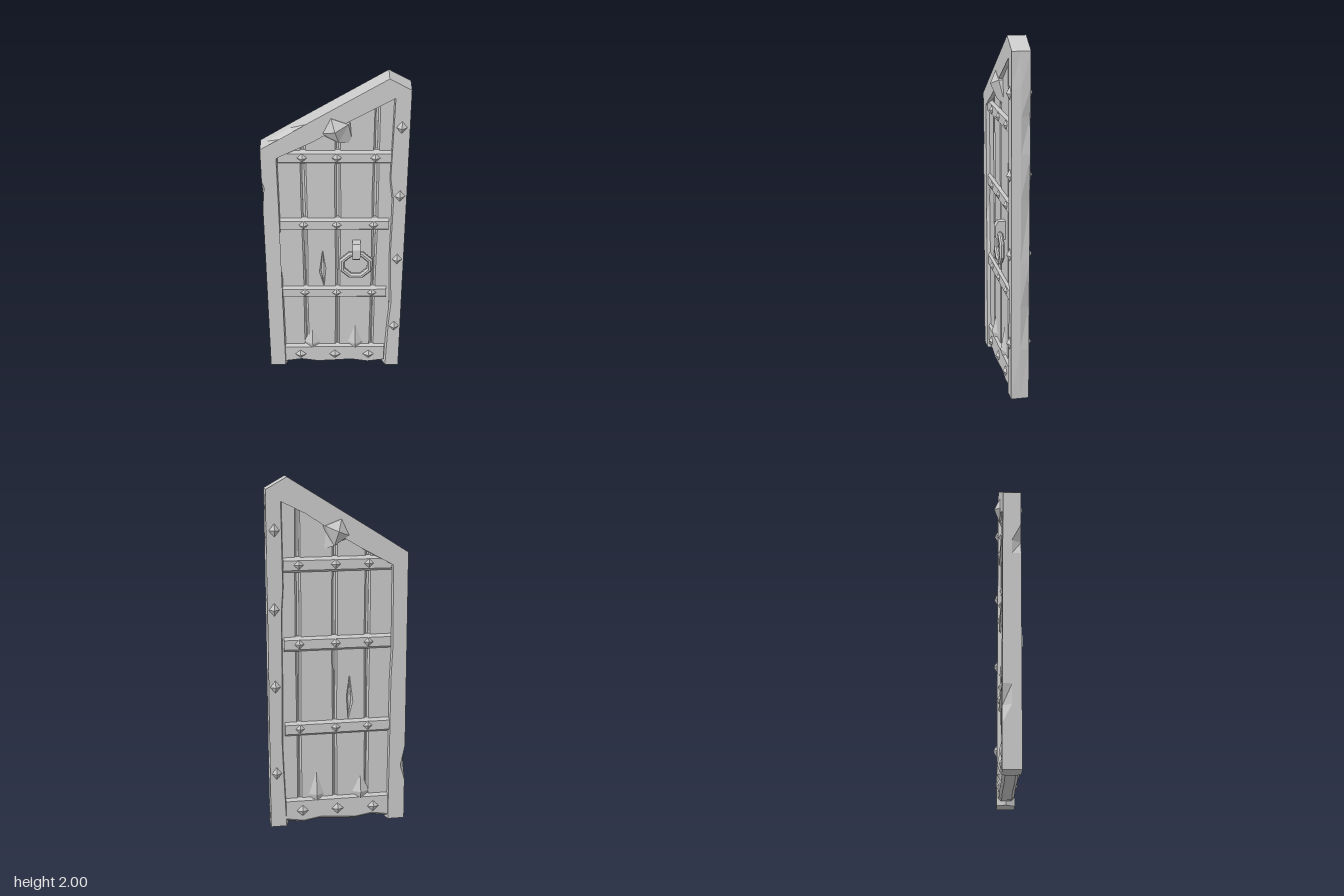
import * as THREE from 'three';

const material = new THREE.MeshStandardMaterial({ color: 0xcccccc, flatShading: true });

function add(parent, name, geometry) {
  const mesh = new THREE.Mesh(geometry, material);
  mesh.name = name;
  parent.add(mesh);
  return mesh;
}

const shapeOf = pts => new THREE.Shape(pts.map(p => new THREE.Vector2(p[0], p[1])));

// Solid skinned over counter-clockwise loops of rising z and closed by an apex
function spire(loops, apex) {
  const v = [];
  const n = loops[0].length;
  for (let k = 0; k < loops.length; k++) {
    const a = loops[k], b = loops[k + 1];
    for (let i = 0; i < n; i++) {
      const j = (i + 1) % n;
      if (b) v.push(...a[i], ...a[j], ...b[j], ...a[i], ...b[j], ...b[i]);
      else v.push(...a[i], ...a[j], ...apex);
    }
  }
  const g = new THREE.BufferGeometry();
  g.setAttribute('position', new THREE.Float32BufferAttribute(v, 3));
  g.computeVertexNormals();
  return g;
}

// The same solid on the front and, mirrored in z, on the back
function bothSides(parent, name, loops, apex) {
  const flip = p => [p[0], p[1], -p[2]];
  add(parent, name + 'Front', spire(loops, apex));
  add(parent, name + 'Back', spire(loops.map(l => l.map(flip).reverse()), flip(apex)));
}

// Four-sided gem: half width w, reach up and down, seated at zBase, tip at zTip
function gem(parent, name, x, y, w, up, down, zBase, zTip) {
  const loop = [[x + w, y, zBase], [x, y + up, zBase], [x - w, y, zBase], [x, y - down, zBase]];
  bothSides(parent, name, [loop], [x, y, zTip]);
}

// Worn frame. Each point is x, y, then optional x and y shifts of its front edge
// and an x shift of its back edge; the middle of the wall stays in place.
function buildFrame(door) {
  const left = -0.395;
  const shortSide = [[left, 0], [left, 0.24], [left, 0.34, 0, 0, 0.03], [left, 0.45],
    [left, 1.2], [left, 1.28, 0.03], [left, 1.38], [left, 1.58]];
  const slope = [[-0.36, 1.602], [-0.23, 1.685, 0.01, -0.03], [-0.15, 1.735], [0.275, 2], [0.39, 1.935]];
  // Tall side: the back edge is worn at every second point
  const tallSide = [1.75, 1.6, 1.4, 1.15, 0.8, 0.55, 0.3]
    .map((y, i) => [0.395, y, -0.005, 0, i % 2 ? -0.018 : -0.004]);
  const innerRight = [[0.285, 0, 0.025], [0.3, 0.35, 0.02], [0.305, 0.5, 0.025], [0.3, 0.9, 0.015],
    [0.3, 1.25, 0.02], [0.29, 1.4, 0.01]].map(p => [...p, 0, 0.015]);
  const innerSlope = [[0.295, 1.87, 0.015, 0.035, 0.015], [0.18, 1.805, 0, 0.02],
    [0.02, 1.7, 0, 0.015], [-0.12, 1.615, 0, 0.01], [-0.3, 1.51, -0.012, 0.015, -0.012]];
  const innerLeft = [[-0.3, 1.03, -0.008], [-0.292, 0.85, -0.045], [-0.29, 0.57, -0.02],
    [-0.285, 0, -0.02]].map(p => [...p, 0, -0.014]);
  const pts = [...shortSide, ...slope, ...tallSide, [0.39, 0], ...innerRight, ...innerSlope, ...innerLeft];

  const g = new THREE.ExtrudeGeometry(shapeOf(pts), { depth: 0.1, steps: 2, bevelEnabled: false });
  g.translate(0, 0, -0.05);
  const pos = g.attributes.position;
  for (let i = 0; i < pos.count; i++) {
    const x = pos.getX(i), y = pos.getY(i), z = pos.getZ(i);
    if (Math.abs(z) < 0.01) continue;
    const [, , frontX = 0, frontY = 0, backX = 0] =
      pts.find(q => Math.abs(q[0] - x) < 1e-4 && Math.abs(q[1] - y) < 1e-4);
    if (z > 0) pos.setXY(i, x + frontX, y + frontY);
    else pos.setX(i, x + backX);
  }
  g.computeVertexNormals();
  add(door, 'frame', g);
}

// Planks with bevelled edges over a thin core; one has a split
function buildPlanks(door) {
  const seams = [-0.33, -0.17, 0.015, 0.22, 0.33];
  const roof = x => 1.56 + (x + 0.305) * 0.6;
  const bevel = 0.01, gap = 0.014;
  for (let i = 0; i < 4; i++) {
    const a = seams[i] + gap, b = seams[i + 1] - gap;
    const shape = shapeOf([[a, 0.04], [b, 0.04], [b + 0.003, 0.7], [b - 0.003, 1.3],
      [b, roof(b)], [a, roof(a)], [a + 0.004, 1.1], [a - 0.002, 0.5]]);
    if (i === 1) {
      shape.holes.push(shapeOf([[-0.07, 0.89], [-0.09, 0.73], [-0.062, 0.62], [-0.052, 0.76]]));
    }
    const g = new THREE.ExtrudeGeometry(shape, {
      depth: 0.04, bevelEnabled: true, bevelThickness: bevel, bevelSize: bevel, bevelSegments: 1,
    });
    g.translate(0, 0, -0.02);
    add(door, 'plank', g);
  }
  const core = new THREE.ExtrudeGeometry(
    shapeOf([[-0.32, 0.03], [0.32, 0.03], [0.32, roof(0.3)], [-0.32, roof(-0.32)]]),
    { depth: 0.03, bevelEnabled: false });
  add(door, 'plankCore', core.translate(0, 0, -0.015));
}

// Crossband with chamfered top and bottom, swept along x through the door
function band(door, y0, y1) {
  const d = 0.042, e = 0.027;
  const g = new THREE.ExtrudeGeometry(shapeOf([[-e, y0], [e, y0], [d, y0 + 0.014], [d, y1 - 0.02],
    [e, y1], [-e, y1], [-d, y1 - 0.02], [-d, y0 + 0.014]]),
  { depth: 0.605, steps: 6, bevelEnabled: false });
  g.rotateY(Math.PI / 2).translate(-0.305, 0, 0);
  // Uneven lower edge on the bottom band
  if (y0 < 0.1) {
    const pos = g.attributes.position;
    for (let i = 0; i < pos.count; i++) {
      if (pos.getY(i) < 0.05) pos.setY(i, pos.getY(i) + 0.01 * Math.sin(pos.getX(i) * 23));
    }
    g.computeVertexNormals();
  }
  add(door, 'crossband', g);
}

// Octagonal pull ring hanging from a bracket, front only
function buildHandle(door) {
  const handle = new THREE.Group();
  handle.name = 'handle';
  const octagon = r => shapeOf(Array.from({ length: 8 }, (_, i) => {
    const a = (i + 0.5) * Math.PI / 4;
    return [r * Math.cos(a), r * Math.sin(a)];
  }));
  const ring = octagon(0.09);
  ring.holes.push(octagon(0.078));
  const g = new THREE.ExtrudeGeometry(ring, {
    depth: 0.01, bevelEnabled: true, bevelThickness: 0.009, bevelSize: 0.01, bevelSegments: 1,
  });
  add(handle, 'pullRing', g).position.set(0.12, 0.81, 0.056);
  const hook = new THREE.ExtrudeGeometry(
    shapeOf([[0.02, 0.855], [0.075, 0.855], [0.087, 0.87], [0.087, 0.935], [0.07, 0.962], [0.02, 0.962]]),
    { depth: 0.044, bevelEnabled: false });
  hook.rotateY(-Math.PI / 2).translate(0.143, 0, 0);
  add(handle, 'ringBracket', hook);
  door.add(handle);
}

export function createModel() {
  const door = new THREE.Group();
  door.name = 'door';
  buildFrame(door);
  buildPlanks(door);

  // Crossbands with three studs each
  for (const y of [0.54, 1.035, 1.48]) {
    band(door, y, y + 0.088);
    for (const x of [-0.175, 0.01, 0.215]) gem(door, 'bandStud', x, y + 0.043, 0.03, 0.03, 0.03, 0.04, 0.058);
  }
  band(door, 0.02, 0.165);
  for (const x of [-0.21, 0, 0.205]) gem(door, 'bottomStud', x, 0.085, 0.038, 0.036, 0.036, 0.04, 0.06);

  // Studs down the tall side
  for (const [x, y] of [[0.347, 1.715], [0.353, 1.28], [0.353, 0.84], [0.353, 0.325]]) {
    gem(door, 'frameStud', x, y, 0.032, 0.042, 0.038, 0.048, 0.07);
  }

  // Long spikes rising from the bottom band
  gem(door, 'spike', -0.135, 0.18, 0.053, 0.115, 0.1, 0.026, 0.055);
  gem(door, 'spike', 0.122, 0.18, 0.05, 0.16, 0.1, 0.026, 0.055);

  // Large pointed boss on the sloping rail
  bothSides(door, 'boss', [
    [[0.095, 1.6, 0.02], [0.085, 1.735, 0.02], [-0.03, 1.79, 0.02], [-0.08, 1.66, 0.02]],
    [[0.02, 1.625, 0.052], [0.07, 1.735, 0.052], [-0.02, 1.77, 0.052], [-0.062, 1.68, 0.052]],
  ], [0, 1.705, 0.085]);

  buildHandle(door);
  return door;
}
